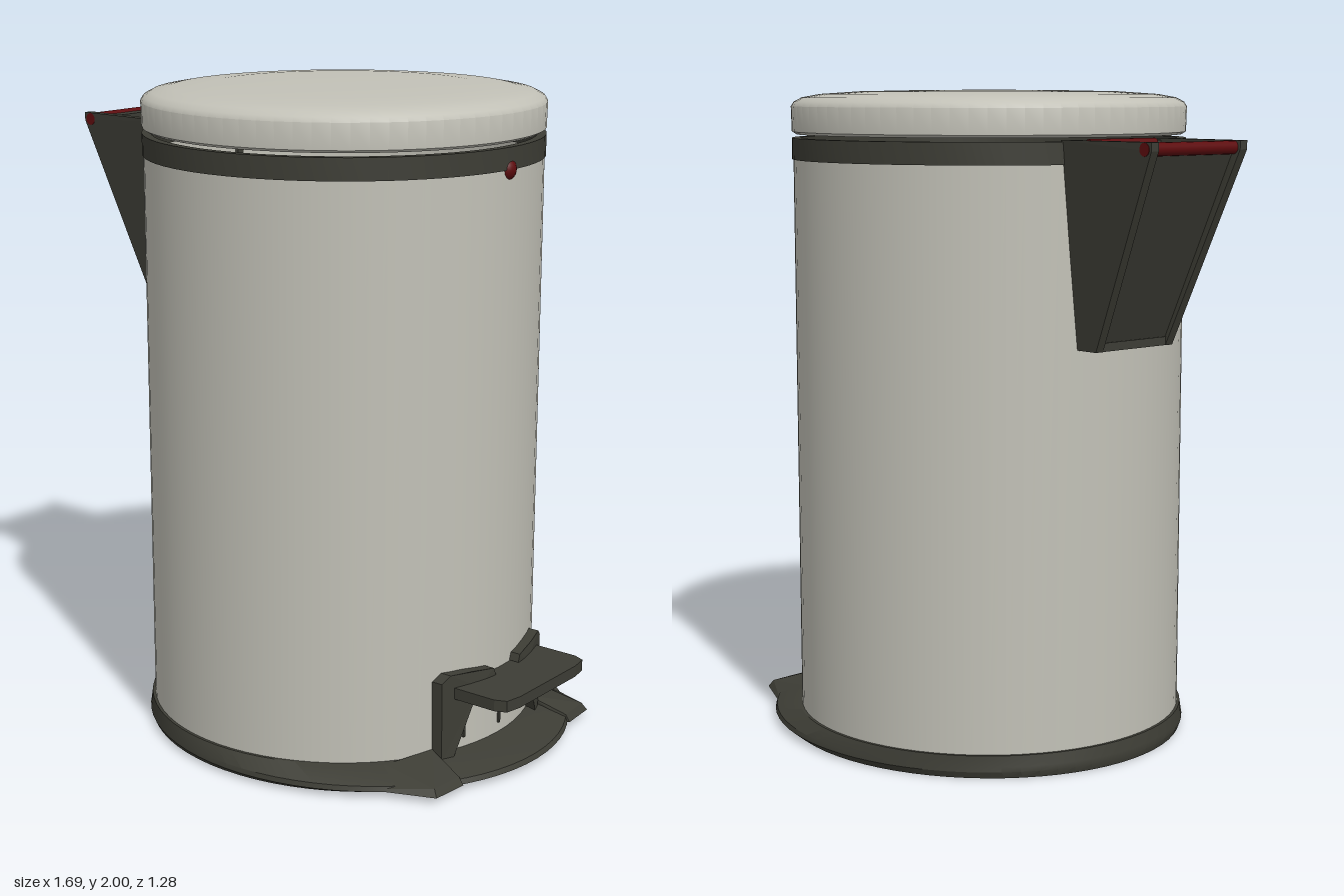
import * as THREE from 'three';
import { toCreasedNormals } from 'three/addons/utils/BufferGeometryUtils.js';
import { ConvexGeometry } from 'three/addons/geometries/ConvexGeometry.js';

const CX = 0.065; // axis of the bin
const R = 0.603; // body radius
const V = (x, y, z) => new THREE.Vector3(x, y, z);

export function createModel() {
  const group = new THREE.Group();
  const material = (name, color) => {
    const m = new THREE.MeshStandardMaterial({ color });
    m.name = name;
    return m;
  };
  const steel = material('brushed steel', 0xc2c1b7);
  const dark = material('dark plastic', 0x3d3d35);
  const red = material('red accent', 0x5e0c0e);
  steel.side = dark.side = THREE.DoubleSide;

  const add = (name, geometry, mat, x = 0, y = 0, z = 0) => {
    const mesh = new THREE.Mesh(geometry, mat);
    mesh.name = name;
    mesh.position.set(x, y, z);
    group.add(mesh);
    return mesh;
  };
  const lathe = (points) => toCreasedNormals(
    new THREE.LatheGeometry(points.map(([r, y]) => new THREE.Vector2(r, y)), 72), 0.6);

  // Body tube, rim band and domed lid
  add('body', new THREE.CylinderGeometry(R, R, 1.75, 72, 1, true), steel, CX, 0.925);
  add('rimBand', lathe([[0.58, 1.79], [0.607, 1.79], [0.607, 1.855], [0.58, 1.855], [0.58, 1.79]]), dark, CX);
  add('lid', lathe([[0, 1.866], [0.595, 1.866], [0.607, 1.874], [0.609, 1.95], [0.6, 1.964],
    [0.575, 1.977], [0.52, 1.987], [0.4, 1.995], [0.2, 1.999], [0, 2]]), steel, CX);
  add('frontButton', new THREE.SphereGeometry(0.035, 20, 14), red, 0.647, 1.79);

  // Flared base lofted from ellipses: [y, centre x, radius x, radius z]
  const sections = [[0, 0.1, 0, 0], [0, 0.1, 0.652, 0.62], [0.02, 0.127, 0.685, 0.64],
    [0.035, 0.125, 0.68, 0.637], [0.068, CX, 0.612, 0.612], [0.068, CX, 0.59, 0.59]];
  const N = 72, positions = [], index = [];
  sections.forEach(([y, cx, rx, rz], k) => {
    for (let i = 0; i <= N; i++) {
      const a = (i / N) * Math.PI * 2;
      positions.push(cx + rx * Math.cos(a), y, -rz * Math.sin(a));
      if (k && i) {
        const b = k * (N + 1) + i, a0 = b - N - 1;
        index.push(a0 - 1, a0, b, a0 - 1, b, b - 1);
      }
    }
  });
  const base = new THREE.BufferGeometry();
  base.setAttribute('position', new THREE.Float32BufferAttribute(positions, 3));
  base.setIndex(index);
  add('base', toCreasedNormals(base, 0.5), dark);

  // Pedal plate with chamfered corners
  const outline = [[0.62, -0.22], [0.8, -0.22], [0.835, -0.205], [0.845, -0.15],
    [0.845, 0.15], [0.835, 0.205], [0.8, 0.22], [0.62, 0.22]];
  add('pedal', new ConvexGeometry(outline.flatMap(([x, z]) => [V(x, 0.245, z), V(x, 0.28, z)])), dark);

  // Thin ribs under the pedal
  for (const z of [-0.155, 0, 0.155]) {
    const x = CX + Math.sqrt(R * R - z * z);
    add('pedalRib', new THREE.BoxGeometry(0.012, 0.15, 0.008), dark, x, 0.175, z);
  }

  // Half of the pedal surround, bent round the body
  const half = new THREE.Shape([[0.26, 0.05], [0.262, 0.3], [0.235, 0.322], [0.16, 0.318], [0.07, 0.305],
    [0.06, 0.282], [0.13, 0.262], [0.22, 0.06]].map(([u, y]) => new THREE.Vector2(u, y)));
  const surround = new THREE.ExtrudeGeometry(half, { depth: 0.035, bevelEnabled: false });
  const p = surround.attributes.position;
  for (let i = 0; i < p.count; i++) {
    const u = p.getX(i), y = p.getY(i), r = R - 0.003 + p.getZ(i);
    p.setXYZ(i, CX + Math.sqrt(r * r - u * u), y, u);
  }
  surround.computeVertexNormals();

  for (const s of [1, -1]) {
    add('pedalSurround', surround, dark).scale.z = s;

    // Foot wedge beside the pedal
    const foot = [[0.52, 0.5], [0.735, 0.41], [0.745, 0.29], [0.6, 0.26]];
    add('footWedge', new ConvexGeometry([
      ...foot.map(([x, z]) => V(x, 0.02, s * z)),
      V(0.54, 0.066, s * 0.4), V(0.72, 0.042, s * 0.4), V(0.73, 0.042, s * 0.29), V(0.61, 0.085, s * 0.26),
    ]), dark);

    // Tapering side cheek of the rear handle
    const cheek = [[-0.848, 1.86, 0.187], [-0.848, 1.835, 0.187], [-0.595, 1.26, 0.152],
      [-0.52, 1.26, 0.155], [-0.5, 1.86, 0.203]];
    add('handleCheek', new ConvexGeometry(cheek.flatMap(([x, y, z]) =>
      [V(x, y, s * z), V(x, y, s * (z - 0.028))])), dark);
  }

  // Handle outer panel, set slightly inside the cheeks
  const panel = [[-0.825, 1.84, 0.17], [-0.795, 1.84, 0.17], [-0.585, 1.27, 0.14], [-0.56, 1.27, 0.14]];
  add('handlePanel', new ConvexGeometry(panel.flatMap(([x, y, z]) => [V(x, y, z), V(x, y, -z)])), dark);
  add('handleFloor', new THREE.BoxGeometry(0.08, 0.025, 0.3), dark, -0.555, 1.273);
  add('handleTopBar', new THREE.BoxGeometry(0.05, 0.03, 0.33), dark, -0.79, 1.835);
  add('handleInnerBar', new THREE.BoxGeometry(0.07, 0.03, 0.36), dark, -0.55, 1.83);

  // Red rods: grip and lid hinge
  const rod = (name, x, y, r, length) => {
    add(name, new THREE.CylinderGeometry(r, r, length, 16), red, x, y).rotation.x = Math.PI / 2;
  };
  rod('gripRod', -0.822, 1.84, 0.019, 0.378);
  rod('hingeRod', -0.535, 1.848, 0.014, 0.26);

  return group;
}
